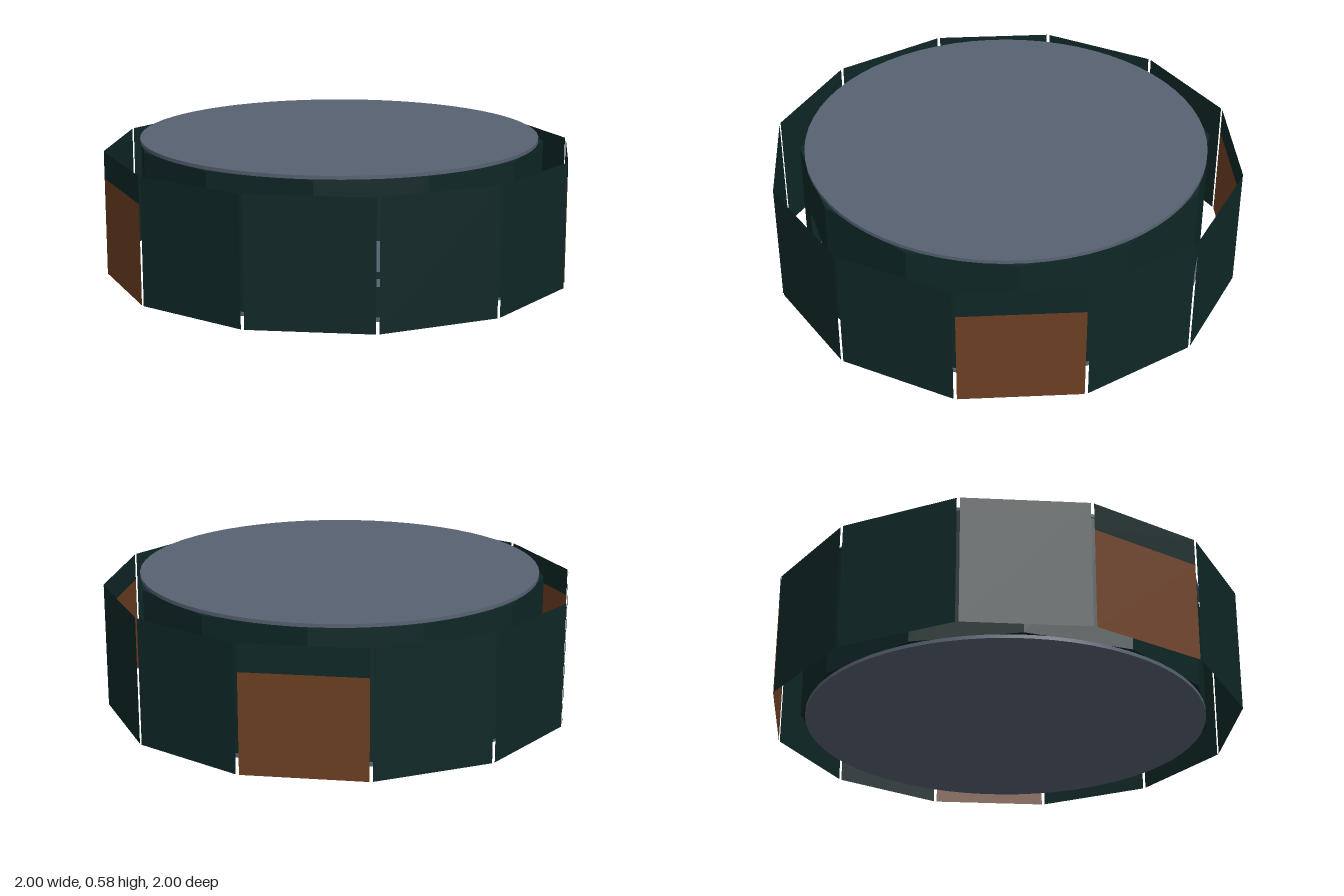
import * as THREE from 'three';

const SIDES = 12;
const STEP = (Math.PI * 2) / SIDES;

export function createModel() {
  const model = new THREE.Group();
  model.name = 'roundBuilding';

  const darkGreen = new THREE.MeshStandardMaterial({ name: 'darkGreen', color: 0x0f2727, side: THREE.DoubleSide });
  const brown = new THREE.MeshStandardMaterial({ name: 'brown', color: 0x6e3f23, side: THREE.DoubleSide });
  const slateGrey = new THREE.MeshStandardMaterial({ name: 'slateGrey', color: 0x586272 });

  const add = (parent, name, geometry, material, x, y, z) => {
    const mesh = new THREE.Mesh(geometry, material);
    mesh.name = name;
    mesh.position.set(x, y, z);
    parent.add(mesh);
    return mesh;
  };

  // A group turned to face outward at the given angle
  const facing = (name, angle) => {
    const group = new THREE.Group();
    group.name = name;
    group.rotation.y = angle;
    model.add(group);
    return group;
  };

  // Outer ring of thin sheets with narrow gaps at the corners
  const outerHeight = 0.53, doorHeight = 0.415, gap = 0.007;
  const outerWidth = 2 * Math.sin(STEP / 2) - 2 * gap;
  const outerDistance = Math.cos(STEP / 2);
  const doorSides = [3, 6, 10];
  const sheet = (parent, name, material, y0, y1) =>
    add(parent, name, new THREE.PlaneGeometry(outerWidth, y1 - y0), material, 0, (y0 + y1) / 2, outerDistance);
  for (let i = 0; i < SIDES; i++) {
    const side = facing('outerWall', (i + 0.5) * STEP);
    if (doorSides.includes(i)) {
      sheet(side, 'door', brown, 0, doorHeight);
      sheet(side, 'doorLintel', darkGreen, doorHeight, outerHeight);
    } else {
      sheet(side, 'outerPanel', darkGreen, 0, outerHeight);
    }
  }

  // Inner drum of thick panels, two of them with a window
  const slab = 0.015, drumTop = 0.565, drumDistance = 0.835, thickness = 0.025;
  const half = drumDistance * Math.tan(STEP / 2);
  const rectangle = (Type, w, y0, y1) => new Type([
    new THREE.Vector2(-w, y0), new THREE.Vector2(w, y0),
    new THREE.Vector2(w, y1), new THREE.Vector2(-w, y1),
  ]);
  const windowSides = [1, 5];
  for (let i = 0; i < SIDES; i++) {
    const shape = rectangle(THREE.Shape, half, slab, drumTop);
    if (windowSides.includes(i)) {
      shape.holes.push(rectangle(THREE.Path, 0.1, 0.13, 0.17), rectangle(THREE.Path, 0.1, 0.19, 0.32));
    }
    const geometry = new THREE.ExtrudeGeometry(shape, { depth: thickness, bevelEnabled: false });
    add(facing('innerWall', i * STEP), 'innerPanel', geometry, darkGreen, 0, 0, drumDistance - thickness);
  }

  // Round floor and roof slabs
  const disc = new THREE.CylinderGeometry(0.845, 0.845, slab, 64);
  add(model, 'floor', disc, slateGrey, 0, slab / 2, 0);
  add(model, 'roof', disc, slateGrey, 0, drumTop + slab / 2, 0);

  return model;
}
